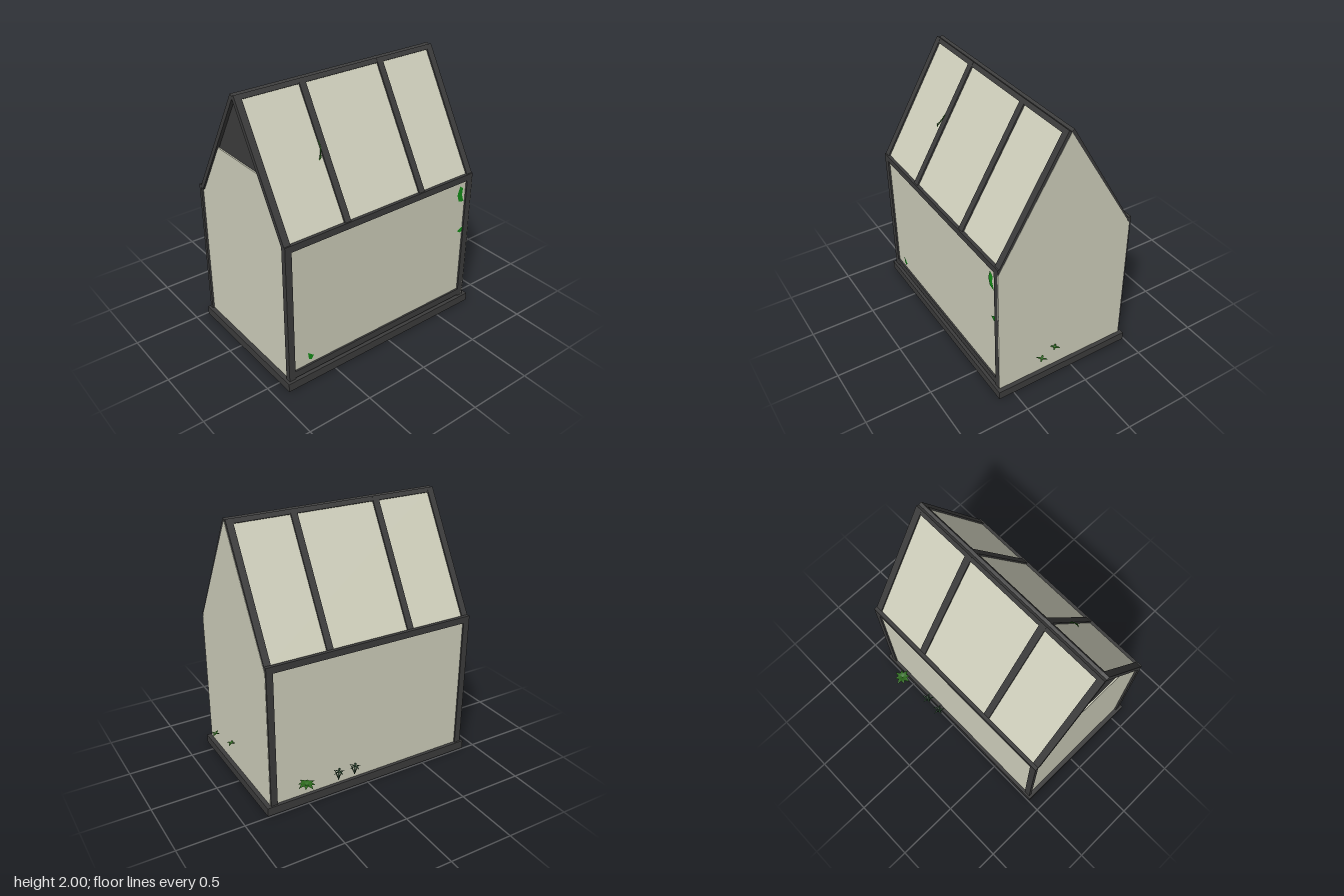
import * as THREE from 'three';

const frameMat = new THREE.MeshStandardMaterial({ color: 0x3c3c3c });
const paneMat = new THREE.MeshStandardMaterial({ color: 0xcfcfbc });
const leafMat = new THREE.MeshStandardMaterial({ color: 0x2c6a1c, side: THREE.DoubleSide });
const brightLeafMat = new THREE.MeshStandardMaterial({ color: 0x149018, side: THREE.DoubleSide });
const grassMat = new THREE.MeshStandardMaterial({ color: 0x2a4a30, side: THREE.DoubleSide });

// Box given by its min/max limits on each axis
function box(parent, name, mat, [x0, x1], [y0, y1], [z0, z1]) {
  const m = new THREE.Mesh(new THREE.BoxGeometry(x1 - x0, y1 - y0, z1 - z0), mat);
  m.position.set((x0 + x1) / 2, (y0 + y1) / 2, (z0 + z1) / 2);
  m.name = name;
  parent.add(m);
}

// Flat end panel from [z, y] points, spanning x0..x0+t
function endPanel(parent, name, mat, x0, t, pts) {
  const shape = new THREE.Shape(pts.map(([z, y]) => new THREE.Vector2(-z, y)));
  const g = new THREE.ExtrudeGeometry(shape, { depth: t, bevelEnabled: false });
  g.rotateY(Math.PI / 2);
  const m = new THREE.Mesh(g, mat);
  m.position.x = x0;
  m.name = name;
  parent.add(m);
}

// Tapered leaf growing along +x, rising then drooping
function leafGeometry(length, width, rise, droop) {
  const g = new THREE.PlaneGeometry(1, 1, 5, 2);
  const p = g.attributes.position;
  for (let i = 0; i < p.count; i++) {
    const t = p.getX(i) + 0.5, v = p.getY(i) * 2;
    const w = width / 2 * (0.1 + 0.9 * Math.sin(Math.PI * Math.pow(t, 0.8))) * (1 - t * t * 0.3);
    p.setXYZ(i, t * length, rise * t - droop * t * t + Math.abs(v) * w * 0.25, -v * w);
  }
  g.computeVertexNormals();
  return g;
}

// Ring of leaves around one centre
function rosette(parent, name, mat, pos, count, length, width, rise, droop, turn = 0) {
  const plant = new THREE.Group();
  plant.name = name;
  for (let i = 0; i < count; i++) {
    const size = 1 - 0.15 * (i % 2);
    const m = new THREE.Mesh(leafGeometry(length * size, width, rise, droop), mat);
    m.rotation.y = turn + i / count * Math.PI * 2;
    m.name = 'leaf';
    plant.add(m);
  }
  plant.position.set(...pos);
  parent.add(plant);
}

// Single pointed leaf lying against the front, from outline points
function flatLeaf(parent, pts, z) {
  const m = new THREE.Mesh(new THREE.ShapeGeometry(
    new THREE.Shape(pts.map(([x, y]) => new THREE.Vector2(x, y)))), brightLeafMat);
  m.position.z = z;
  m.name = 'frontLeaf';
  parent.add(m);
}

export function createModel() {
  const house = new THREE.Group();
  house.name = 'greenhouse';
  const bars = [[-0.88, -0.83], [-0.395, -0.345], [0.265, 0.315], [0.735, 0.785]];
  const full = [-0.88, 0.785];

  // Base and front and back walls
  box(house, 'base', frameMat, [-0.9, 0.82], [0, 0.065], [-0.49, 0.62]);
  box(house, 'frontPane', paneMat, [-0.85, 0.76], [0.065, 1.12], [0.575, 0.587]);
  box(house, 'backPane', paneMat, [-0.85, 0.76], [0.065, 1.12], [-0.465, -0.453]);
  box(house, 'frontSill', frameMat, [-0.83, 0.735], [0.075, 0.13], [0.56, 0.6]);
  for (const [z0, z1] of [[0.56, 0.6], [-0.477, -0.45]]) {
    box(house, 'eaveBeam', frameMat, full, [1.1, 1.15], [z0, z1]);
    for (const x of [bars[0], bars[3]]) box(house, 'cornerPost', frameMat, x, [0.065, 1.1], [z0, z1]);
  }

  // Roof slopes, hung from the ridge
  const angle = Math.atan2(0.53, 0.9), length = 1.0;
  for (const s of [1, -1]) {
    const roof = new THREE.Group();
    roof.name = s > 0 ? 'frontRoof' : 'backRoof';
    roof.position.set(0, 2, 0.07 + s * 0.02);
    roof.rotation.x = -s * angle;
    const layer = (a, b) => (s > 0 ? [-b, -a] : [a, b]);
    for (const x of bars) box(roof, 'rafter', frameMat, x, [-length, 0], layer(0, 0.032));
    box(roof, 'ridgeBeam', frameMat, full, [-0.035, 0], layer(0.001, 0.031));
    box(roof, 'roofPane', paneMat, [-0.85, 0.76], [-length, -0.01], layer(0.012, 0.022));
    house.add(roof);
  }

  // Right end is one full pane, left end has a dark vent under the ridge
  endPanel(house, 'rightPane', paneMat, 0.777, 0.01,
    [[0.6, 0.065], [0.6, 1.105], [0.07, 1.985], [-0.462, 1.105], [-0.462, 0.065]]);
  endPanel(house, 'leftPane', paneMat, -0.865, 0.01,
    [[0.575, 0.065], [0.575, 1.12], [0.33, 1.54], [-0.19, 1.54], [-0.455, 1.12], [-0.455, 0.065]]);
  endPanel(house, 'leftVent', frameMat, -0.855, 0.01, [[0.34, 1.53], [0.07, 1.975], [-0.2, 1.53]]);

  // Plants growing out through the panes
  rosette(house, 'backRosette', leafMat, [0.545, 0.205, -0.555], 8, 0.07, 0.034, 0.045, 0.04, 0.2);
  for (const x of [0.13, 0.265]) {
    rosette(house, 'grassTuft', grassMat, [x, 0.125, -0.52], 5, 0.045, 0.012, 0.16, 0.085, Math.PI / 2);
    rosette(house, 'grassTips', grassMat, [x, 0.2, -0.53], 5, 0.05, 0.013, 0.03, 0.025, Math.PI / 2);
  }
  rosette(house, 'sideSprig', leafMat, [0.808, 0.243, 0.145], 4, 0.04, 0.018, 0.025, 0.02, Math.PI / 4);
  rosette(house, 'sideSprig', leafMat, [0.867, 0.263, 0.297], 4, 0.042, 0.018, 0.025, 0.02, Math.PI / 4);
  flatLeaf(house, [[0.675, 1.07], [0.652, 1.0], [0.67, 0.945], [0.722, 0.93], [0.7, 0.99], [0.705, 1.045]], 0.592);
  flatLeaf(house, [[0.68, 0.68], [0.715, 0.66], [0.735, 0.67], [0.735, 0.705], [0.71, 0.7]], 0.592);
  flatLeaf(house, [[-0.718, 0.23], [-0.71, 0.175], [-0.685, 0.162], [-0.668, 0.19]], 0.592);

  // Thin frond on the front roof
  const curve = new THREE.CatmullRomCurve3([
    new THREE.Vector3(-0.39, 1.655, 0.285), new THREE.Vector3(-0.4, 1.59, 0.335), new THREE.Vector3(-0.425, 1.54, 0.36)]);
  const frond = new THREE.Mesh(new THREE.TubeGeometry(curve, 10, 0.004, 5), leafMat);
  frond.name = 'roofFrond';
  house.add(frond);
  const tip = new THREE.Mesh(leafGeometry(0.04, 0.018, 0, 0), leafMat);
  tip.position.set(-0.412, 1.56, 0.358);
  tip.rotation.set(Math.PI / 2, 0, -2.1);
  tip.rotation.order = 'ZYX';
  tip.name = 'frondTip';
  house.add(tip);
  return house;
}
